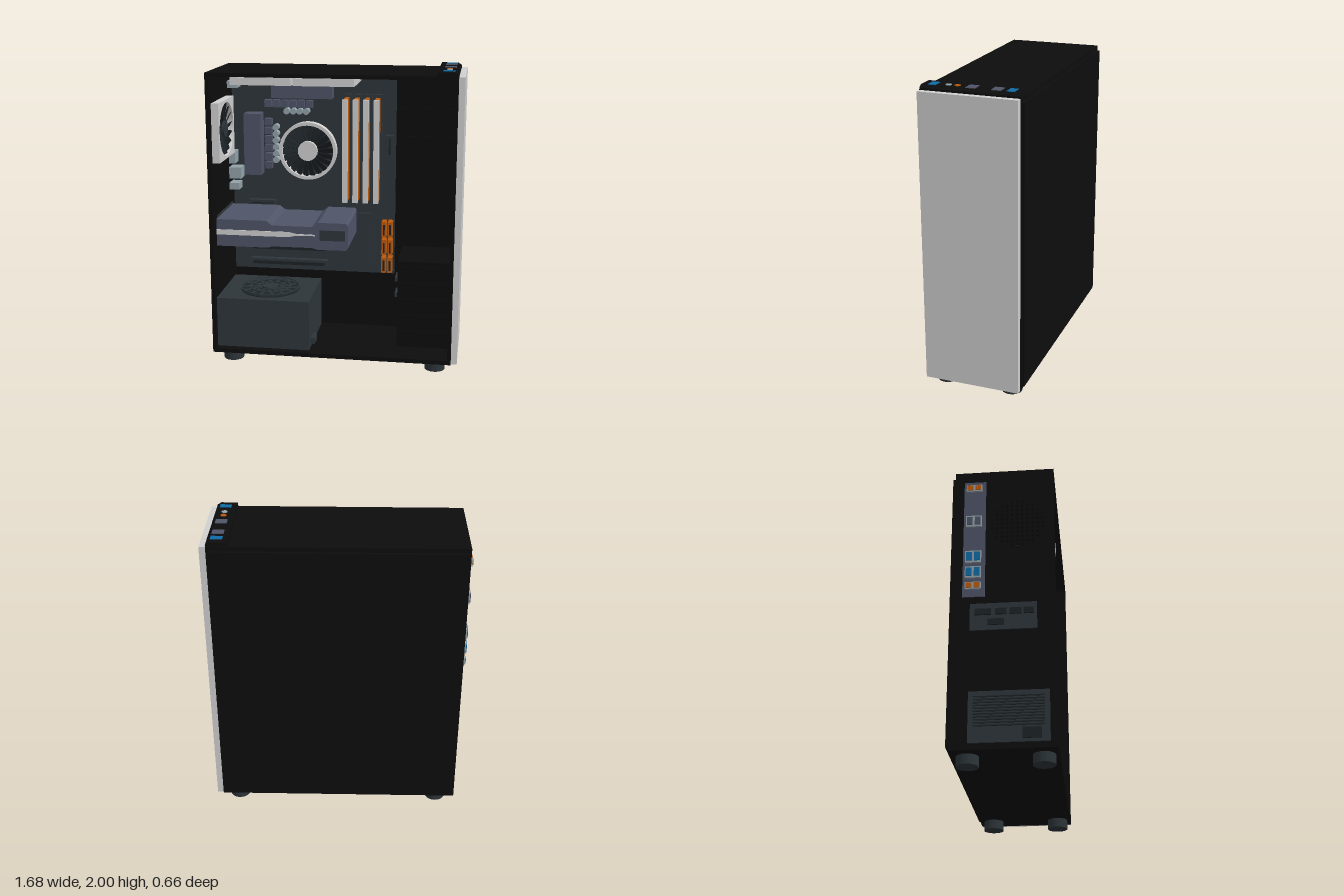
import * as THREE from 'three';

const paint = (name, color) => {
  const m = new THREE.MeshStandardMaterial({ color });
  m.name = name;
  return m;
};

export function createModel() {
  const black = paint('black', 0x0d0d0d);
  const white = paint('white', 0xd0d0d0);
  const dark = paint('dark grey', 0x2d353a);
  const shade = paint('charcoal', 0x1d2327);
  const slate = paint('slate', 0x4f5467);
  const silver = paint('silver', 0x93a3aa);
  const orange = paint('orange', 0xbd5a0c);
  const blue = paint('blue', 0x106ba6);

  const root = new THREE.Group();
  root.name = 'computerTower';

  const add = (name, geo, mat, x = 0, y = 0, z = 0, parent = root) => {
    const m = new THREE.Mesh(geo, mat);
    m.name = name;
    m.position.set(x, y, z);
    parent.add(m);
    return m;
  };
  // box given by its limits along each axis
  const box = (name, mat, x0, x1, y0, y1, z0, z1, parent = root) =>
    add(name, new THREE.BoxGeometry(x1 - x0, y1 - y0, z1 - z0), mat,
      (x0 + x1) / 2, (y0 + y1) / 2, (z0 + z1) / 2, parent);
  // disc or cylinder with its axis along z
  const discZ = (name, mat, r, x, y, z0, z1, parent = root) =>
    add(name, new THREE.CylinderGeometry(r, r, z1 - z0, 24).rotateX(Math.PI / 2), mat, x, y, (z0 + z1) / 2, parent);
  const extrude = (shape, depth, curveSegments = 24) =>
    new THREE.ExtrudeGeometry(shape, { depth, bevelEnabled: false, curveSegments });
  const hole = (shape, x, y, r) => {
    const p = new THREE.Path();
    p.absarc(x, y, r, 0, Math.PI * 2, true);
    shape.holes.push(p);
  };
  const rect = (x0, x1, y0, y1) => new THREE.Shape([
    [x0, y0], [x1, y0], [x1, y1], [x0, y1]].map(p => new THREE.Vector2(...p)));
  const ring = (r, inner, depth) => {
    const s = new THREE.Shape();
    s.absarc(0, 0, r, 0, Math.PI * 2, false);
    hole(s, 0, 0, inner);
    return extrude(s, depth, 40);
  };
  // pitched blades around a hub, facing +z
  const rotor = (g, r, hubR, count, hubMat, bladeMat, depth) => {
    discZ('fanHub', hubMat, hubR, 0, 0, -depth / 2, depth / 2, g);
    for (let i = 0; i < count; i++) {
      const arm = new THREE.Group();
      arm.name = 'fanBlade';
      arm.rotation.z = i / count * Math.PI * 2;
      const b = add('blade', new THREE.BoxGeometry(r - hubR, r * 0.24, 0.005), bladeMat, (r + hubR) / 2, 0, 0, arm);
      b.rotation.set(0.55, 0, 0.2);
      g.add(arm);
    }
  };
  const caseFan = (name, x, y, z, rx, ry) => {
    const g = new THREE.Group();
    g.name = name;
    const s = rect(-0.198, 0.198, -0.198, 0.198);
    hole(s, 0, 0, 0.18);
    add('fanFrame', extrude(s, 0.05, 40), white, 0, 0, -0.025, g);
    rotor(g, 0.175, 0.055, 16, dark, shade, 0.04);
    for (let i = 0; i < 4; i++) {
      const a = add('strut', new THREE.BoxGeometry(0.36, 0.012, 0.006), white, 0, 0, -0.021, g);
      a.rotation.z = i * Math.PI / 4;
    }
    g.position.set(x, y, z);
    g.rotation.set(rx, ry, 0);
    root.add(g);
  };

  // case shell, open on the +z side
  box('topPanel', black, -0.82, 0.8, 1.945, 1.97, -0.31, 0.325);
  box('floorPanel', black, -0.82, 0.8, 0.062, 0.09, -0.31, 0.325);
  box('motherboardTray', black, -0.82, 0.8, 0.09, 1.945, -0.31, -0.27);
  box('backCover', black, -0.8, 0.78, 0.09, 1.94, -0.33, -0.31);
  box('innerFrontWall', black, 0.775, 0.8, 0.09, 1.945, -0.27, 0.325);
  box('frontPanel', white, 0.8, 0.84, 0.068, 1.967, -0.31, 0.322);
  // rear wall with a round field of vent holes
  const rear = rect(-0.325, 0.27, 0.09, 1.945);
  for (let i = -5; i <= 5; i++) for (let j = -5; j <= 5; j++)
    if (i * i + j * j < 28) hole(rear, -0.09 + i * 0.032, 1.57 + j * 0.032, 0.009);
  add('rearWall', extrude(rear, 0.025, 3).rotateY(Math.PI / 2), black, -0.82);
  for (const x of [-0.695, 0.69]) for (const z of [-0.215, 0.235])
    add('foot', new THREE.CylinderGeometry(0.068, 0.068, 0.064, 28), dark, x, 0.032, z);

  // control strip on the top edge
  const strip = new THREE.Shape([[0.665, 1.97], [0.8, 1.97], [0.8, 1.98], [0.775, 1.996], [0.665, 1.996]]
    .map(p => new THREE.Vector2(...p)));
  add('controlStrip', extrude(strip, 0.63), black, 0, 0, -0.308);
  for (const [z, mat, h] of [[-0.24, blue, 0.024], [0.255, blue, 0.024], [-0.15, slate, 0.03], [0.01, slate, 0.03]])
    box('topPort', mat, 0.7, 0.775, 1.99, 2, z - h, z + h);
  for (const [z, mat] of [[0.105, orange], [0.162, silver]])
    add('audioJack', new THREE.CylinderGeometry(0.019, 0.019, 0.01, 20), mat, 0.735, 1.995, z);

  // drive cages behind the front
  box('upperDriveCage', black, 0.42, 0.775, 1.39, 1.945, -0.27, 0.19);
  for (let i = 0; i < 3; i++) box('driveBay', black, 0.43, 0.77, 1.41 + i * 0.18, 1.57 + i * 0.18, 0.19, 0.198);
  box('lowerDriveCage', black, 0.42, 0.775, 0.09, 0.7, -0.27, 0.11);
  for (let i = 0; i < 5; i++) box('diskBay', black, 0.43, 0.77, 0.11 + i * 0.115, 0.21 + i * 0.115, 0.11, 0.118);
  for (const y of [0.455, 0.565]) box('diskConnector', dark, 0.4, 0.42, y - 0.014, y + 0.014, -0.03, 0.09);

  // motherboard and its heat sinks
  const B = -0.245;
  box('motherboard', dark, -0.79, 0.365, 0.5, 1.88, -0.27, B);
  box('topHeatSink', slate, -0.49, -0.068, 1.75, 1.87, B, -0.15);
  box('sideHeatSink', slate, -0.685, -0.565, 1.21, 1.64, B, -0.14);
  for (let i = 0; i < 6; i++) {
    const x = -0.525 + i * 0.058, y = 1.27 + i * 0.061;
    box('topChoke', slate, x - 0.024, x + 0.024, 1.68, 1.73, B, -0.2);
    box('sideChoke', slate, -0.55, -0.5, y - 0.024, y + 0.024, B, -0.2);
    discZ('sideCapacitor', silver, 0.022, -0.47, 1.31 + i * 0.046, B, -0.19);
    if (i < 4) discZ('topCapacitor', silver, 0.022, -0.392 + i * 0.046, 1.655, B, -0.19);
  }
  box('chipsetCover', dark, 0.04, 0.215, 0.58, 0.94, B, -0.22);
  discZ('coinBattery', silver, 0.055, -0.22, 0.785, B, -0.225);
  const slot = (x0, x1, y0, y1) => {
    box('slot', dark, x0, x1, y0, y1, B, -0.2);
    box('slotGroove', shade, x0 + 0.02, x1 - 0.02, y0 + 0.017, y1 - 0.017, -0.2, -0.198);
  };
  slot(-0.67, -0.11, 0.64, 0.695);
  slot(-0.67, -0.11, 0.528, 0.585);
  slot(-0.67, -0.48, 0.725, 0.77);
  slot(-0.67, -0.48, 0.975, 1.017);
  slot(0.3, 0.352, 1.35, 1.5);

  // memory sticks in their sockets
  for (let i = 0; i < 4; i++) {
    const x = 0.033 + i * 0.071;
    box('memorySocket', dark, x - 0.027, x + 0.027, 1.03, 1.78, B, -0.2);
    box('memoryBoard', orange, x - 0.014, x + 0.014, 1.05, 1.76, -0.2, -0.09);
    box('memoryCap', white, x - 0.018, x + 0.018, 1.05, 1.76, -0.09, -0.065);
  }
  // data ports in three stacked pairs
  for (let i = 0; i < 3; i++) for (const x of [0.295, 0.338]) {
    const y = 0.58 + i * 0.13;
    box('dataPort', orange, x - 0.016, x + 0.016, y - 0.055, y + 0.055, B, -0.17);
    box('dataPortSocket', shade, x - 0.005, x + 0.007, y - 0.04, y + 0.035, -0.17, -0.168);
  }

  // processor cooler
  const cooler = new THREE.Group();
  cooler.name = 'processorCooler';
  cooler.position.set(-0.235, 1.39, -0.16);
  add('coolerRing', ring(0.2, 0.178, 0.06), white, 0, 0, -0.03, cooler);
  discZ('coolerBase', dark, 0.17, 0, 0, -0.085, -0.045, cooler);
  rotor(cooler, 0.18, 0.068, 22, white, shade, 0.06);
  root.add(cooler);

  // graphics card
  const card = new THREE.Shape([[-0.79, 0.8], [-0.44, 0.8], [-0.41, 0.81], [-0.14, 0.81], [-0.11, 0.8], [0.085, 0.8],
    [0.1, 0.815], [0.1, 0.97], [0.085, 0.985], [-0.1, 0.985], [-0.14, 0.955], [-0.41, 0.955], [-0.45, 0.985], [-0.79, 0.985]]
    .map(p => new THREE.Vector2(...p)));
  add('graphicsCard', extrude(card, 0.45), slate, 0, 0, -0.2);
  box('cardEdgeConnector', dark, -0.66, -0.12, 0.87, 0.93, B, -0.2);
  const stripe = new THREE.Shape([[-0.79, 0.88], [-0.3, 0.88], [-0.25, 0.892], [-0.12, 0.894], [-0.12, 0.902],
    [-0.25, 0.904], [-0.3, 0.915], [-0.79, 0.915]].map(p => new THREE.Vector2(...p)));
  add('cardStripe', extrude(stripe, 0.006), white, 0, 0, 0.25);
  box('cardPowerSocket', dark, -0.09, 0.08, 0.865, 0.935, 0.25, 0.256);
  box('cardBracket', dark, -0.828, -0.79, 0.82, 1.0, -0.2, 0.21);
  for (const [y, z, w] of [[0.94, -0.12, 0.05], [0.94, -0.01, 0.035], [0.94, 0.08, 0.035], [0.94, 0.16, 0.03], [0.87, -0.04, 0.05]])
    box('videoPort', shade, -0.838, -0.828, y - 0.02, y + 0.02, z - w, z + w);

  // rear port strip, ports running through to the inside
  box('portShield', slate, -0.826, -0.815, 1.05, 1.89, -0.25, -0.11);
  const ports = [ // y, half height, inner end, silver shell / colour of the socket
    [1.84, 0.024, -0.725, silver, orange], [1.59, 0.04, -0.79, silver, slate], [1.33, 0.042, -0.75, silver, blue],
    [1.22, 0.04, -0.71, silver, blue], [1.125, 0.024, -0.725, silver, orange]];
  for (const [y, h, end, shell, face] of ports) {
    box('rearPort', shell, -0.838, end, y - h, y + h, -0.235, -0.135);
    for (const z of [-0.21, -0.16])
      box('rearPortSocket', face, -0.844, -0.838, y - h * 0.7, y + h * 0.7, z - 0.018, z + 0.018);
  }

  // power supply with its top fan and rear vents
  box('powerSupply', dark, -0.795, -0.16, 0.095, 0.44, -0.24, 0.285);
  box('powerCableSocket', dark, -0.16, -0.132, 0.118, 0.16, 0.12, 0.22);
  box('powerRearPlate', dark, -0.828, -0.815, 0.1, 0.42, -0.2, 0.28);
  for (let i = 0; i < 11; i++)
    box('rearVent', shade, -0.831, -0.828, 0.2 + i * 0.018, 0.208 + i * 0.018, -0.17, 0.25);
  box('mainsInlet', shade, -0.838, -0.828, 0.12, 0.185, 0.12, 0.23);
  const vent = new THREE.Group();
  vent.name = 'powerFan';
  vent.position.set(-0.475, 0.45, 0.03);
  vent.rotation.x = -Math.PI / 2;
  discZ('fanWell', shade, 0.205, 0, 0, -0.01, -0.006, vent);
  for (const r of [0.205, 0.145, 0.09]) add('grillRing', ring(r, r - 0.01, 0.006), dark, 0, 0, 0.006, vent);
  for (let i = 0; i < 14; i++) {
    const b = add('powerFanBlade', new THREE.BoxGeometry(0.13, 0.022, 0.004), dark, 0, 0, 0, vent);
    b.rotation.z = i / 14 * Math.PI * 2;
    b.translateX(0.125);
    b.rotateZ(0.25);
  }
  discZ('powerFanHub', dark, 0.055, 0, 0, -0.006, 0.01, vent);
  root.add(vent);

  // case fans: one at the rear, two under the top
  caseFan('rearFan', -0.769, 1.57, 0.09, 0, Math.PI / 2);
  for (const x of [-0.465, -0.055]) caseFan('topFan', x, 1.915, 0.09, Math.PI / 2, 0);

  return root;
}
